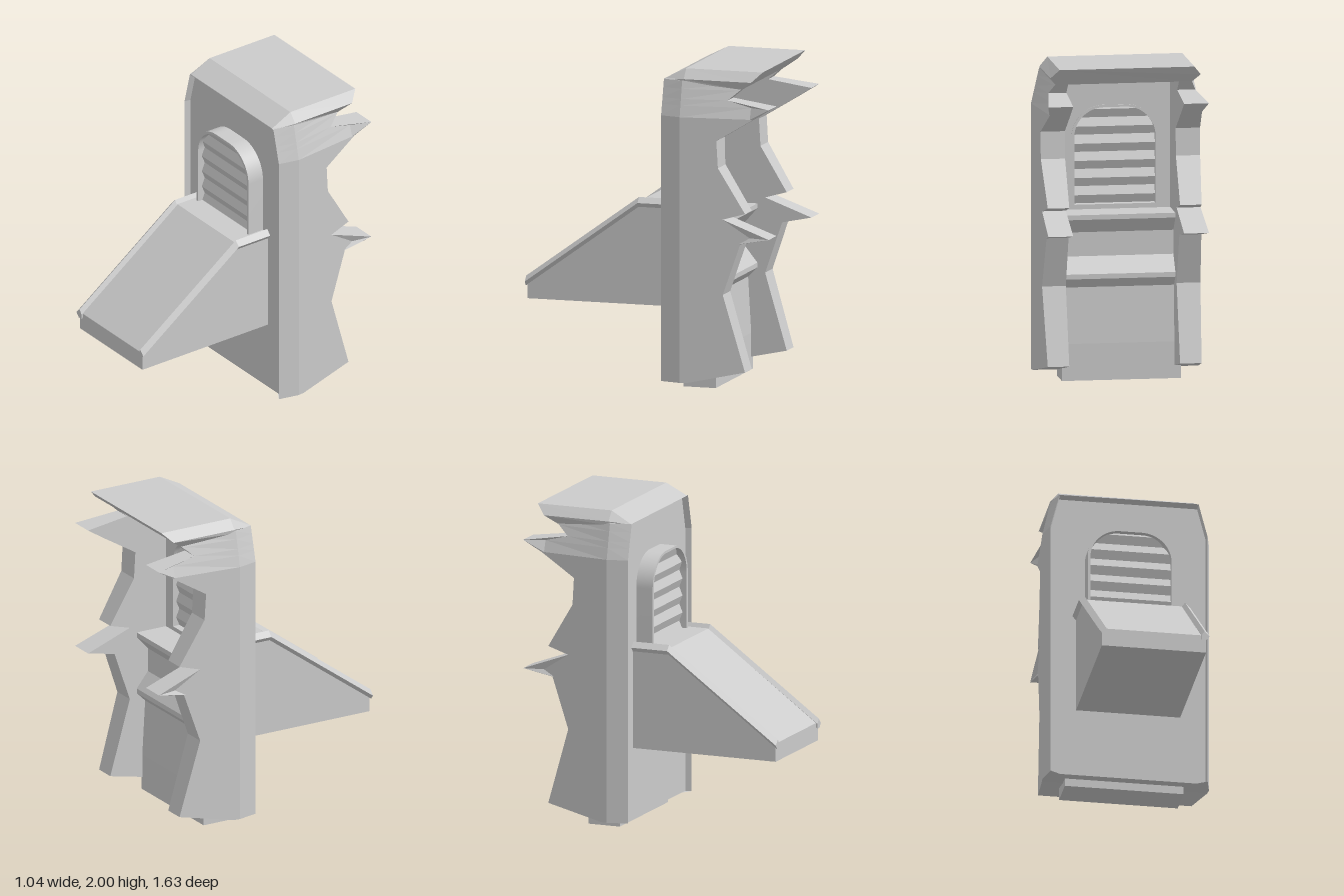
import * as THREE from 'three';
import { toCreasedNormals } from 'three/addons/utils/BufferGeometryUtils.js';

const material = new THREE.MeshStandardMaterial({ color: 0xcccccc, flatShading: true });
const smooth = new THREE.MeshStandardMaterial({ color: 0xcccccc });

// Closed solid through equal-length loops of [x, y, z]; winding is fixed by signed volume
function loft(rows) {
  const n = rows[0].length, tris = [];
  for (let r = 0; r < rows.length - 1; r++) {
    for (let i = 0; i < n; i++) {
      const j = (i + 1) % n;
      const a = rows[r][i], b = rows[r][j], c = rows[r + 1][j], d = rows[r + 1][i];
      tris.push([a, b, c], [a, c, d]);
    }
  }
  const first = rows[0], last = rows[rows.length - 1];
  for (let i = 1; i < n - 1; i++) {
    tris.push([first[0], first[i + 1], first[i]], [last[0], last[i], last[i + 1]]);
  }
  let volume = 0;
  for (const [a, b, c] of tris) {
    volume += new THREE.Vector3(...a).dot(new THREE.Vector3(...b).cross(new THREE.Vector3(...c)));
  }
  if (volume < 0) tris.forEach((t) => t.reverse());
  const geometry = new THREE.BufferGeometry();
  geometry.setAttribute('position', new THREE.Float32BufferAttribute(tris.flat(2), 3));
  geometry.computeVertexNormals();
  return geometry;
}

const toShape = (points) => new THREE.Shape(points.map((p) => new THREE.Vector2(...p)));

// Extrude a [z, y] profile across x
function extrudeX(points, x0, x1) {
  const g = new THREE.ExtrudeGeometry(toShape(points), { depth: x1 - x0, bevelEnabled: false });
  return g.rotateY(-Math.PI / 2).translate(x1, 0, 0);
}

// Extrude a front shape from z0 to z1
function extrudeZ(shape, z0, z1) {
  const g = new THREE.ExtrudeGeometry(shape, { depth: z1 - z0, bevelEnabled: false, curveSegments: 10 });
  return g.translate(0, 0, z0);
}

// Window outline: straight sides and rounded top corners
function arch(Type, halfWidth, bottom, top, radius) {
  const s = new Type();
  s.moveTo(-halfWidth, bottom);
  s.lineTo(halfWidth, bottom);
  s.lineTo(halfWidth, top - radius);
  s.absarc(halfWidth - radius, top - radius, radius, 0, Math.PI / 2, false);
  s.absarc(radius - halfWidth, top - radius, radius, Math.PI / 2, Math.PI, false);
  s.closePath();
  return s;
}

export function createModel() {
  const group = new THREE.Group();
  const add = (name, geometry, mat = material) => {
    const mesh = new THREE.Mesh(geometry, mat);
    mesh.name = name;
    group.add(mesh);
  };

  // Front wall, set back behind its rim, with arched opening
  const wall = toShape([[-0.483, 0.05], [0.483, 0.05], [0.483, 1.71], [0.43, 1.92], [-0.43, 1.92], [-0.483, 1.71]]);
  wall.holes.push(arch(THREE.Path, 0.27, 1.06, 1.69, 0.2));
  add('frontWall', extrudeZ(wall, -0.25, -0.15));

  // Side walls with a front rim and a torn back edge: [height, back z]
  const tornEdge = [
    [0.05, -0.28], [0.13, -0.65], [0.61, -0.51], [0.93, -0.62], [0.97, -0.81], [1.08, -0.51], [1.12, -0.65],
    [1.4, -0.48], [1.57, -0.47], [1.71, -0.7], [1.78, -0.81], [1.82, -0.53], [1.88, -0.6], [1.93, -0.66],
  ];
  for (const side of [1, -1]) {
    const rows = tornEdge.map(([y, back]) => {
      const lean = Math.max(0, (y - 1.71) / 0.22);
      const rim = 0.49 - 0.057 * lean;
      const corner = 0.52 - 0.05 * lean;
      const outer = (z) => corner - (0.1 + 0.06 * lean) * (-0.24 - z);
      const bend = Math.max(back + 0.01, -0.68);
      const tip = back < -0.75 ? 0.5 : outer(back);
      return [
        [rim, -0.11], [corner, -0.24], [outer(bend), bend], [tip, back],
        [0.345, back], [0.345, -0.2], [rim - 0.007, -0.15],
      ].map(([x, z]) => [side * x, y, z]);
    });
    add(side > 0 ? 'leftWall' : 'rightWall', loft(rows));
  }

  // Roof slab with bevelled front and overhanging sides
  const roofSections = [
    [[0.42, 1.93, -0.11], [0.433, 1.925, -0.11], [0.43, 1.912, -0.15]],
    [[0.42, 2, -0.25], [0.47, 1.94, -0.25], [0.465, 1.915, -0.25]],
    [[0.42, 2, -0.745], [0.468, 1.94, -0.685], [0.425, 1.885, -0.61]],
  ];
  add('roof', loft(roofSections.map((half) => [
    ...half, ...half.slice().reverse().map(([x, y, z]) => [-x, y, z]),
  ])));

  // Arched window frame
  const frame = arch(THREE.Shape, 0.27, 1.06, 1.69, 0.2);
  frame.holes.push(arch(THREE.Path, 0.253, 1.07, 1.675, 0.185));
  add('windowFrame', toCreasedNormals(extrudeZ(frame, -0.255, -0.04), 0.6), smooth);

  // Zigzag louvres filling the arch
  const louvreRows = [];
  const fold = 0.0535;
  for (let i = 0; i <= 45; i++) {
    const y = 1.0715 + (fold * i) / 4;
    const rise = Math.max(0, y - 1.49);
    const half = 0.068 + Math.sqrt(Math.max(0, 0.185 ** 2 - rise ** 2));
    const wave = 0.022 * (1 - Math.abs(((i / 4) % 2) - 1));
    const front = -0.09 + wave, back = -0.21 - wave;
    louvreRows.push([[-half, y, front], [half, y, front], [half, y, back], [-half, y, back]]);
  }
  add('louvres', loft(louvreRows));

  // Base and stepped, broken interior
  add('baseAndInterior', extrudeX([
    [-0.21, 0], [-0.21, 1.04], [-0.46, 1.04], [-0.46, 1.01], [-0.38, 0.92], [-0.38, 0.77],
    [-0.46, 0.67], [-0.46, 0.64], [-0.4, 0.58], [-0.42, 0.23], [-0.42, 0],
  ], -0.385, 0.355));

  // Sloping ramp body
  add('ramp', extrudeX([[-0.2, 0.49], [0.81, 0.49], [0.81, 0.605], [0.085, 1.135], [-0.2, 1.135]], -0.325, 0.325));

  // Bevelled rails along both ramp edges
  const railSection = [[0.295, -0.03], [0.315, 0], [0.347, -0.033], [0.325, -0.06], [0.295, -0.06]];
  const railPath = [[-0.18, 1.16], [0.09, 1.16], [0.82, 0.63]];
  for (const side of [1, -1]) {
    add(side > 0 ? 'leftRail' : 'rightRail', loft(railPath.map(([z, y]) =>
      railSection.map(([x, dy]) => [side * x, y + dy, z]))));
  }
  return group;
}
